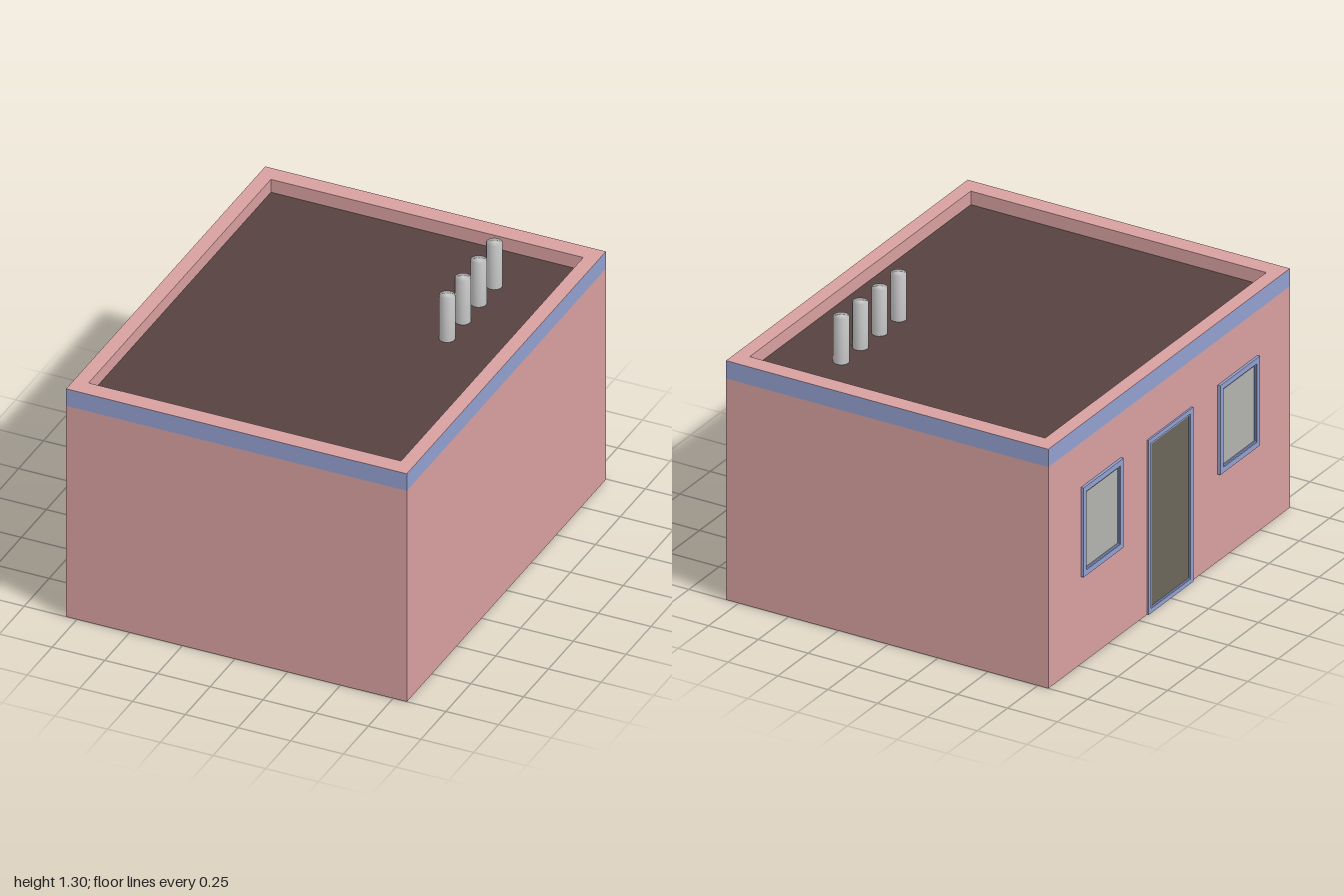
import * as THREE from 'three';
import { mergeVertices } from 'three/addons/utils/BufferGeometryUtils.js';

const mat = (color) => new THREE.MeshStandardMaterial({ color });
const wallMat = mat(0xd8a0a0);
const trimMat = mat(0x93a0cf);
const deckMat = mat(0x564140);
const doorMat = mat(0x6c665a);
const glassMat = mat(0xb3b3ae);
const pipeMat = mat(0xcccccc);

const X0 = -0.803, X1 = 0.815, CX = (X0 + X1) / 2, W = X1 - X0, D = 2;
const BAND = 1.065, DECK = 1.085, TOP = 1.15;

function part(parent, name, geometry, material, x = 0, y = 0, z = 0) {
  const mesh = new THREE.Mesh(geometry, material);
  mesh.name = name;
  mesh.position.set(x, y, z);
  parent.add(mesh);
  return mesh;
}

// Rectangular ring, centred on the origin, extruded along +z
function ring(w, h, innerW, innerH, depth) {
  const rect = (S, a, b) => new S([[-a, -b], [a, -b], [a, b], [-a, b]]
    .map(([x, y]) => new THREE.Vector2(x / 2, y / 2)));
  const shape = rect(THREE.Shape, w, h);
  shape.holes.push(rect(THREE.Path, innerW, innerH));
  return new THREE.ExtrudeGeometry(shape, { depth, bevelEnabled: false });
}

// Framed opening on the -x wall: outer trim, recessed inner trim and a panel
function opening(name, z, y0, y1, width, border, depth, panelMat) {
  const g = new THREE.Group();
  g.name = name;
  const h = y1 - y0, iw = width - 2 * border, ih = h - 2 * border;
  part(g, 'frame', ring(width, h, iw, ih, depth), trimMat);
  part(g, 'innerFrame', ring(iw, ih, iw - 0.016, ih - 0.016, depth * 0.6), trimMat);
  part(g, 'panel', new THREE.PlaneGeometry(iw, ih), panelMat, 0, 0, 0.003);
  g.rotation.y = -Math.PI / 2;
  g.position.set(X0, (y0 + y1) / 2, z);
  return g;
}

export function createModel() {
  const model = new THREE.Group();
  model.name = 'building';

  // Walls, parapet and sunken roof deck
  part(model, 'walls', new THREE.BoxGeometry(W, BAND, D), wallMat, CX, BAND / 2, 0);
  const parapet = part(model, 'parapet',
    ring(W - 0.002, D - 0.002, W - 0.136, D - 0.172, TOP - BAND), wallMat, CX, BAND, 0);
  parapet.rotation.x = -Math.PI / 2;
  part(model, 'roofDeck', new THREE.BoxGeometry(W - 0.134, DECK - BAND, D - 0.17),
    deckMat, CX, (BAND + DECK) / 2, 0);

  // Trim band around the outside of the parapet
  for (let i = 0; i < 4; i++) {
    const a = i * Math.PI / 2, alongX = i % 2 === 0;
    const band = part(model, 'trimBand',
      new THREE.PlaneGeometry(alongX ? W : D, TOP - BAND), trimMat,
      CX + Math.sin(a) * W / 2, (BAND + TOP) / 2, Math.cos(a) * D / 2);
    band.rotation.y = a;
  }

  // Door with a window on each side
  model.add(opening('door', 0, 0, 0.84, 0.37, 0.022, 0.008, doorMat));
  for (const s of [-1, 1]) {
    model.add(opening('window', s * 0.565, 0.42, 0.85, 0.33, 0.026, 0.013, glassMat));
  }

  // Row of roof pipes, shaded smoothly over their rims
  let pipe = new THREE.CylinderGeometry(0.035, 0.035, 1.305 - DECK, 16);
  pipe.deleteAttribute('normal');
  pipe.deleteAttribute('uv');
  pipe = mergeVertices(pipe);
  pipe.computeVertexNormals();
  for (let i = 0; i < 4; i++) {
    part(model, 'roofPipe', pipe, pipeMat, 0.455, (DECK + 1.305) / 2, -0.165 - i * 0.158);
  }
  return model;
}
